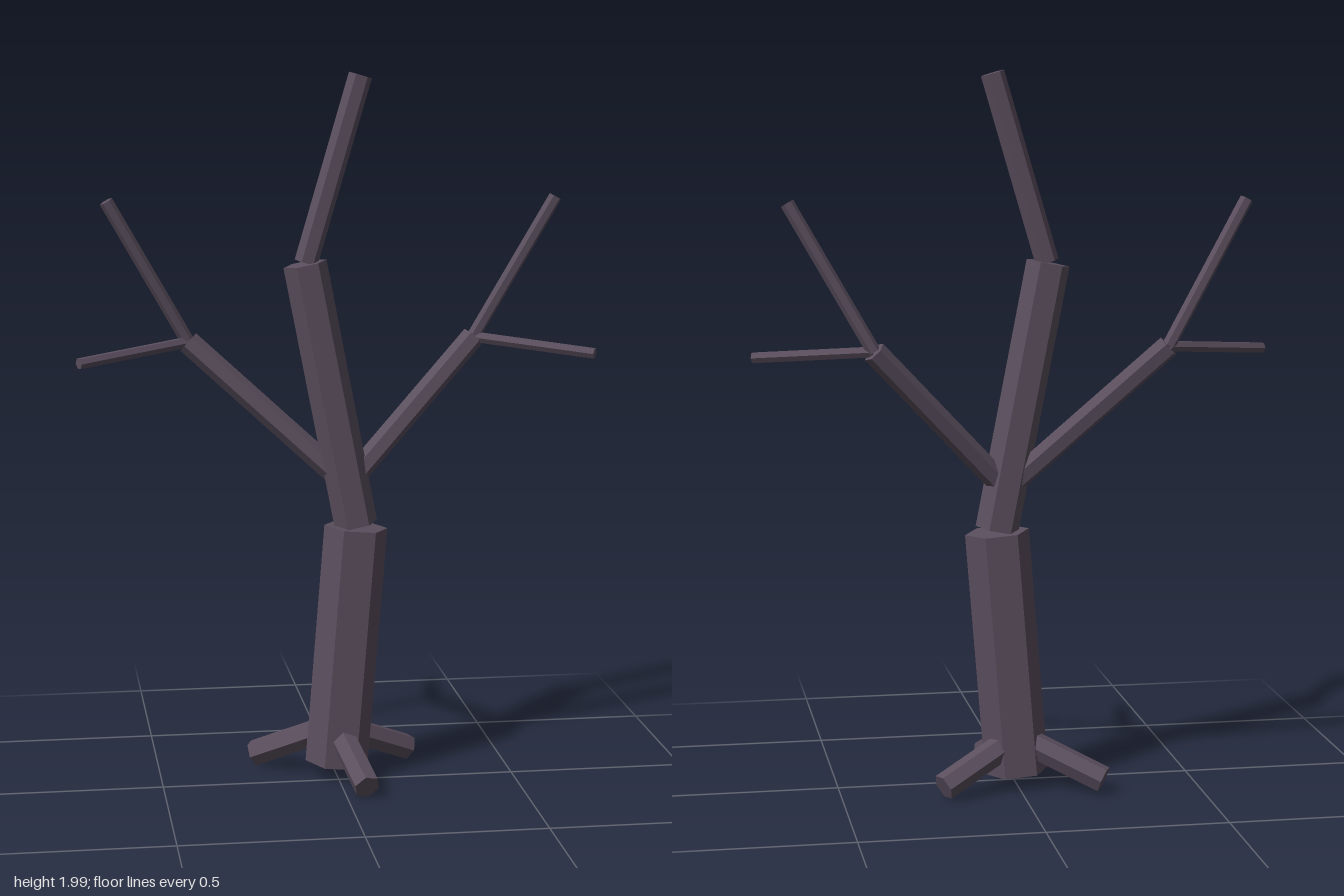
import * as THREE from 'three';

const bark = new THREE.MeshStandardMaterial({ color: 0x5b4f5e, flatShading: true });
const UP = new THREE.Vector3(0, 1, 0);

// Straight six-sided limb running from one point to another
function limb(name, from, to, radius) {
  const a = new THREE.Vector3(...from);
  const b = new THREE.Vector3(...to);
  const dir = b.clone().sub(a);
  const geometry = new THREE.CylinderGeometry(radius, radius, dir.length(), 6);
  geometry.rotateY(Math.PI / 6);
  const mesh = new THREE.Mesh(geometry, bark);
  mesh.name = name;
  mesh.position.copy(a).add(b).multiplyScalar(0.5);
  mesh.quaternion.setFromUnitVectors(UP, dir.normalize());
  return mesh;
}

export function createModel() {
  const tree = new THREE.Group();
  tree.name = 'bareTree';

  // Trunk in three leaning sections
  tree.add(
    limb('lowerTrunk', [0, 0.045, -0.045], [0.055, 0.73, -0.045], 0.09),
    limb('middleTrunk', [0.055, 0.737, -0.045], [-0.088, 1.475, -0.045], 0.061),
    limb('upperTrunk', [-0.085, 1.478, -0.045], [0.066, 1.99, -0.045], 0.033)
  );

  // Side branches, each forking into two twigs
  for (const [side, s] of [['left', 1], ['right', -1]]) {
    const fork = [0.405 * s, 1.25, -0.143];
    const branch = new THREE.Group();
    branch.name = side + 'Branch';
    branch.add(
      limb(side + 'Bough', [0.03 + 0.017 * s, 0.868, -0.055], fork, 0.033),
      limb(side + 'UpperTwig', fork, [0.63 * s, 1.648, -0.106], 0.019),
      limb(side + 'OuterTwig', fork, [0.717 * s, 1.22, 0.033], 0.016)
    );
    tree.add(branch);

    // Rear roots
    tree.add(limb(side + 'Root', [0, 0.147, -0.06], [0.225 * s, 0.042, -0.168], 0.038));
  }

  // Front root
  tree.add(limb('frontRoot', [0, 0.15, -0.045], [0.054, 0.038, 0.182], 0.038));
  return tree;
}
